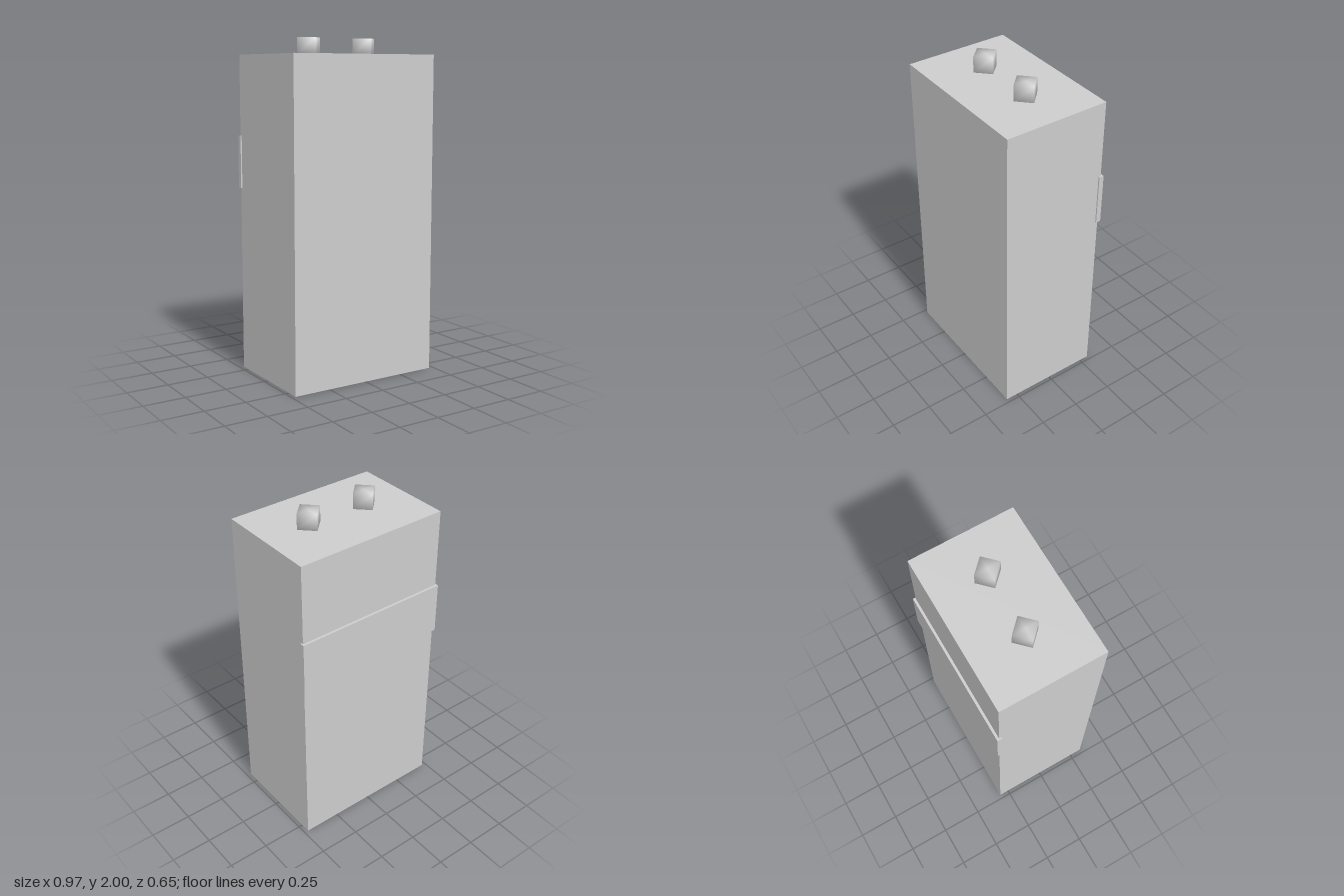
import * as THREE from 'three';
import { mergeVertices } from 'three/addons/utils/BufferGeometryUtils.js';

export function createModel() {
  const model = new THREE.Group();
  model.name = 'tank';
  const grey = new THREE.MeshStandardMaterial({ color: 0xcccccc });
  grey.name = 'light grey';

  const add = (name, geometry, x, y, z) => {
    const mesh = new THREE.Mesh(geometry, grey);
    mesh.name = name;
    mesh.position.set(x, y, z);
    model.add(mesh);
  };

  // Tall rectangular body
  add('body', new THREE.BoxGeometry(0.95, 1.905, 0.635), 0, 0.9525, 0.0075);

  // Strap across the back, slightly wider than the body
  add('backBand', new THREE.BoxGeometry(0.966, 0.315, 0.03), 0, 1.272, -0.31);

  // Four-sided knobs on top, with normals shared between sides and caps
  let knob = new THREE.CylinderGeometry(0.078, 0.078, 0.095, 4);
  knob.deleteAttribute('uv');
  knob.deleteAttribute('normal');
  knob = mergeVertices(knob);
  knob.computeVertexNormals();
  for (const side of [1, -1]) {
    add(side > 0 ? 'leftKnob' : 'rightKnob', knob, side * 0.19, 1.9525, 0.0075);
  }

  return model;
}
